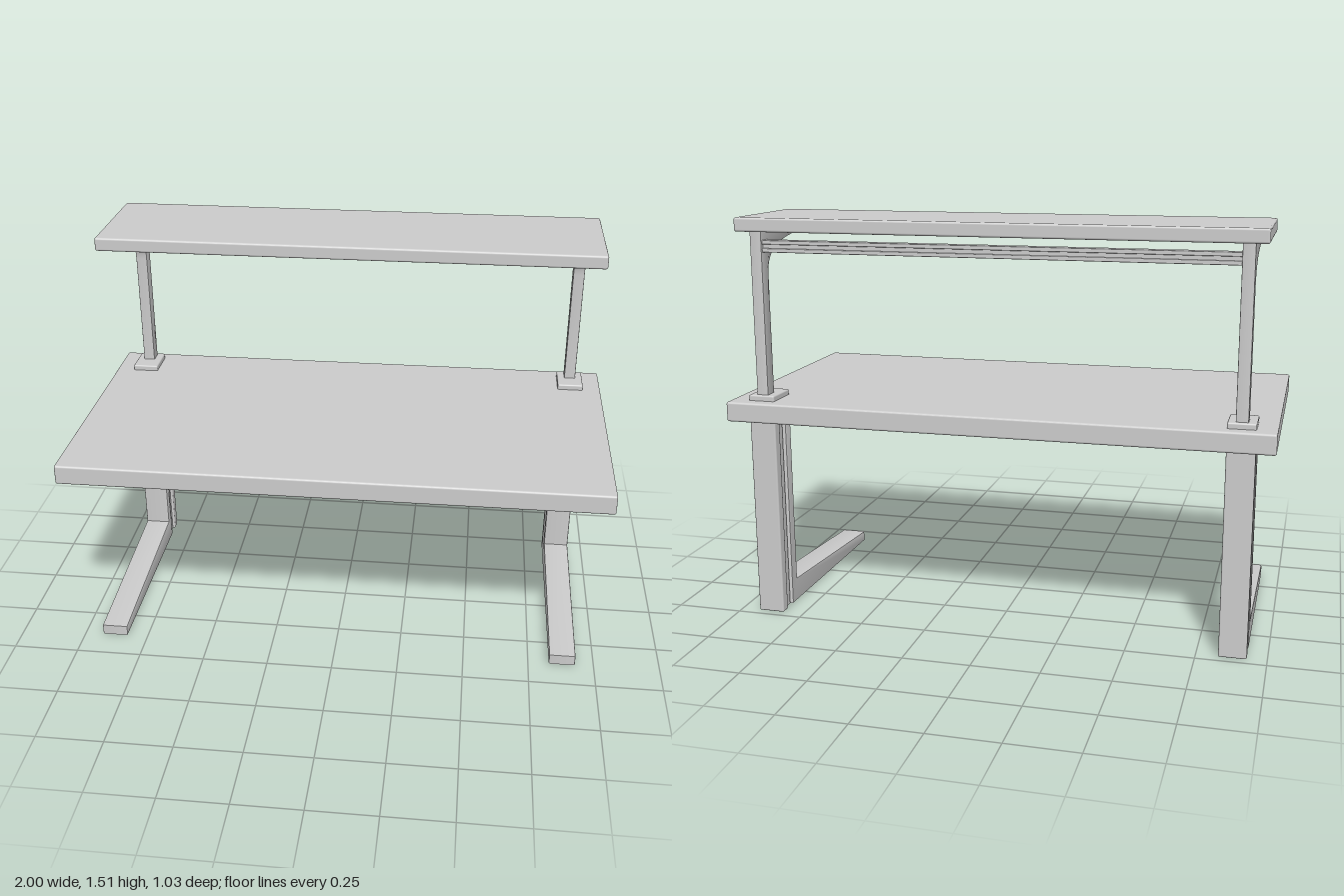
import * as THREE from 'three';
import { toCreasedNormals } from 'three/addons/utils/BufferGeometryUtils.js';
import { RoundedBoxGeometry } from 'three/addons/geometries/RoundedBoxGeometry.js';

const grey = new THREE.MeshStandardMaterial({ color: 0xcccccc });

function add(parent, name, geometry) {
  const mesh = new THREE.Mesh(geometry, grey);
  mesh.name = name;
  parent.add(mesh);
  return mesh;
}

// Softened box given by its lower and upper corners
function slab(parent, name, [x0, y0, z0], [x1, y1, z1], radius) {
  const geo = new RoundedBoxGeometry(x1 - x0, y1 - y0, z1 - z0, 3, radius);
  return add(parent, name, geo.translate((x0 + x1) / 2, (y0 + y1) / 2, (z0 + z1) / 2));
}

// Side profile (drawn with u = -z, v = y) extruded along x, centred on x = 0
function sideExtrude(shape, width, bevel) {
  const geo = new THREE.ExtrudeGeometry(shape, {
    depth: width - 2 * bevel, bevelEnabled: true, bevelThickness: bevel,
    bevelSize: bevel, bevelOffset: -bevel, bevelSegments: 2, curveSegments: 16,
  });
  geo.translate(0, 0, -(width - 2 * bevel) / 2).rotateY(Math.PI / 2);
  return toCreasedNormals(geo, 0.6);
}

// Column front and tapered foot in one piece, ribbed core, rear column
function makeLeg() {
  const leg = new THREE.Group();
  const foot = new THREE.Shape();
  foot.moveTo(-0.385, 0.005);
  foot.lineTo(0.38, 0.005);
  foot.lineTo(0.38, 0.77);
  foot.lineTo(0.335, 0.77);
  foot.lineTo(0.335, 0.094);
  foot.lineTo(-0.385, 0.046);
  foot.closePath();
  add(leg, 'footAndColumnFront', sideExtrude(foot, 0.1, 0.005));
  slab(leg, 'columnCore', [-0.028, 0.005, -0.44], [0.028, 0.77, -0.37], 0.002);
  slab(leg, 'columnRib', [-0.04, 0.005, -0.427], [0.04, 0.77, -0.386], 0.003);
  slab(leg, 'columnRear', [-0.05, 0.003, -0.47], [0.05, 0.77, -0.428], 0.006);
  return leg;
}

// Base plate and post sweeping forward into a curved bracket
function makeShelfSupport() {
  const support = new THREE.Group();
  slab(support, 'basePlate', [-0.05, 0.825, -0.47], [0.05, 0.855, -0.335], 0.006);
  const post = new THREE.Shape();
  post.moveTo(0.404, 0.84);
  post.lineTo(0.456, 0.84);
  post.lineTo(0.456, 1.47);
  post.lineTo(0.116, 1.47);
  post.lineTo(0.116, 1.436);
  post.bezierCurveTo(0.28, 1.42, 0.404, 1.4, 0.404, 1.3);
  post.closePath();
  add(support, 'postAndBracket', sideExtrude(post, 0.044, 0.003));
  return support;
}

export function createModel() {
  const model = new THREE.Group();
  model.name = 'deskWithShelf';

  slab(model, 'deskTop', [-1, 0.76, -0.516], [1, 0.834, 0.516], 0.008);
  slab(model, 'shelf', [-0.947, 1.458, -0.488], [0.947, 1.509, -0.028], 0.008);

  for (const [side, name] of [[1, 'left'], [-1, 'right']]) {
    const leg = makeLeg();
    leg.name = name + 'Leg';
    leg.position.x = side * 0.879;
    const support = makeShelfSupport();
    support.name = name + 'ShelfSupport';
    support.position.x = side * 0.879;
    model.add(leg, support);
  }

  // Grooved cross rail between the posts
  const rail = new THREE.Group();
  rail.name = 'crossRail';
  slab(rail, 'railCore', [-0.87, 1.39, -0.441], [0.87, 1.42, -0.413], 0.002);
  for (const y of [1.382, 1.411]) {
    slab(rail, 'railLip', [-0.87, y, -0.448], [0.87, y + 0.015, -0.406], 0.003);
  }
  model.add(rail);
  return model;
}
